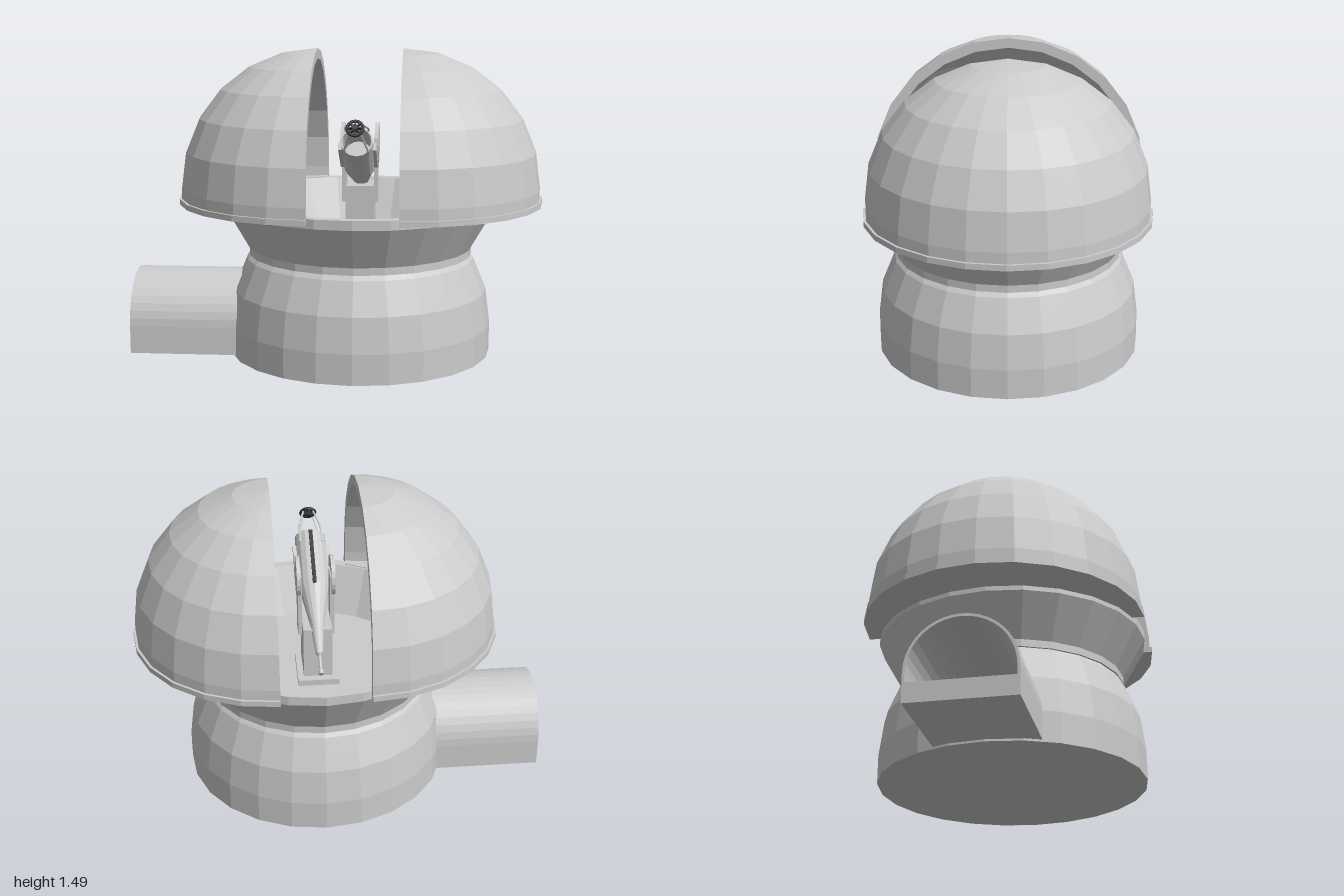
import * as THREE from 'three';

const CX = 0.1125;   // axis of the round building
const SLIDE = 0.2075; // how far each dome half has slid open
const SEG = 24;

const grey = new THREE.MeshStandardMaterial({ color: 0xcccccc, flatShading: true, side: THREE.DoubleSide });
const dark = new THREE.MeshStandardMaterial({ color: 0x333333, flatShading: true, side: THREE.DoubleSide });

const V = (x, y) => new THREE.Vector2(x, y);
const pts = (list) => list.map(([x, y]) => V(x, y));

function add(parent, name, geometry, x = 0, y = 0, z = 0, material = grey) {
  const mesh = new THREE.Mesh(geometry, material);
  mesh.name = name;
  mesh.position.set(x, y, z);
  parent.add(mesh);
  return mesh;
}

// Thin rod between two points
function rod(parent, name, a, b, r, material = grey) {
  const dir = b.clone().sub(a);
  const mesh = add(parent, name, new THREE.CylinderGeometry(r, r, dir.length(), 6), 0, 0, 0, material);
  mesh.position.copy(a).add(b).multiplyScalar(0.5);
  mesh.quaternion.setFromUnitVectors(new THREE.Vector3(0, 1, 0), dir.normalize());
}

function createBase() {
  const g = new THREE.Group();
  g.name = 'base';
  // Lower wall, left open where the entrance tunnel meets it
  const step = (Math.PI * 2) / SEG;
  add(g, 'lowerWall', new THREE.LatheGeometry(
    pts([[0.645, 0], [0.645, 0.145], [0.623, 0.312], [0.591, 0.39]]),
    SEG - 2, Math.PI * 1.5 + step, Math.PI * 2 - 2 * step));
  add(g, 'foundation', new THREE.CylinderGeometry(0.643, 0.643, 0.01, SEG), 0, 0.005, 0);
  // Upper wall, neck, flared cup and observing floor
  add(g, 'cup', new THREE.LatheGeometry(pts([
    [0.591, 0.39], [0.559, 0.467], [0.54, 0.49], [0.55, 0.49], [0.55, 0.525], [0.662, 0.72],
    [0.662, 0.765], [0.61, 0.765], [0.5, 0.53], [0, 0.53]]), SEG));
  return g;
}

function createTunnel() {
  const w = 0.245, t = 0.012, spring = 0.145, floor = 0.1;
  const arch = (Path, half, bottom) => {
    const s = new Path();
    s.moveTo(-half, bottom);
    s.lineTo(half, bottom);
    s.lineTo(half, spring);
    s.absarc(0, spring, half, 0, Math.PI, false);
    s.lineTo(-half, bottom);
    return s;
  };
  const shape = arch(THREE.Shape, w, 0.01);
  shape.holes.push(arch(THREE.Path, w - t, floor));
  const geo = new THREE.ExtrudeGeometry(shape, { depth: 0.56, bevelEnabled: false, curveSegments: 10 });
  geo.rotateY(-Math.PI / 2);
  const mesh = new THREE.Mesh(geo, grey);
  mesh.name = 'entranceTunnel';
  mesh.position.x = -0.44;
  return mesh;
}

// One half of the dome, bulging toward +x from its cut plane at x = 0
function createDomeHalf(name) {
  const g = new THREE.Group();
  g.name = name;
  const arc = (r) => Array.from({ length: 7 }, (_, i) => {
    const a = (i * Math.PI) / 12;
    return V(r * Math.cos(a), 0.82 + r * Math.sin(a));
  });
  const outer = [V(0.67, 0.745), ...arc(0.67)];
  const inner = [V(0.622, 0.745), ...arc(0.622)];
  add(g, 'shell', new THREE.LatheGeometry([...outer, ...inner.slice().reverse()], SEG / 2, 0, Math.PI));

  // Flat face of the cut edge
  const mirror = (list) => list.slice(0, -1).reverse().map((p) => V(-p.x, p.y));
  const band = [...outer, ...mirror(outer), ...[...inner, ...mirror(inner)].reverse()];
  add(g, 'cutEdge', new THREE.ShapeGeometry(new THREE.Shape(band)).rotateY(-Math.PI / 2));

  // Rim plate that fills the gap between the cup and the slid dome
  const rim = [];
  for (let i = 0; i <= 12; i++) {
    const a = -Math.PI / 2 + (i * Math.PI) / 12;
    rim.push(V(0.682 * Math.cos(a), 0.682 * Math.sin(a)));
  }
  const end = Math.acos(SLIDE / 0.62);
  for (let i = 0; i <= 12; i++) {
    const a = end * (1 - i / 6);
    rim.push(V(0.62 * Math.cos(a) - SLIDE, 0.62 * Math.sin(a)));
  }
  const plate = new THREE.ExtrudeGeometry(new THREE.Shape(rim), { depth: 0.027, bevelEnabled: false });
  add(g, 'rimPlate', plate.rotateX(-Math.PI / 2), 0, 0.742, 0);

  // Drive unit on the inner wall, with two short barrels pointing inward
  add(g, 'driveBox', new THREE.BoxGeometry(0.1, 0.12, 0.24), 0.38, 0.85, 0, dark);
  add(g, 'driveBracket', new THREE.BoxGeometry(0.2, 0.05, 0.08), 0.53, 0.83, 0, dark);
  for (const s of [-1, 1]) {
    add(g, 'driveBarrel', new THREE.CylinderGeometry(0.025, 0.025, 0.08, 12).rotateZ(Math.PI / 2), 0.3, 0.845, s * 0.07);
  }
  return g;
}

function createTelescope() {
  const g = new THREE.Group();
  g.name = 'telescope';
  // Pedestal and fork
  add(g, 'pedestal', new THREE.BoxGeometry(0.14, 0.29, 0.2), 0, 0.675, -0.065);
  add(g, 'pedestalFoot', new THREE.BoxGeometry(0.2, 0.03, 0.28), 0, 0.545, -0.065);
  for (const s of [-1, 1]) {
    add(g, 'forkArm', new THREE.BoxGeometry(0.02, 0.32, 0.1), s * 0.078, 0.9, -0.02);
    add(g, 'bearingDisc', new THREE.CylinderGeometry(0.1, 0.1, 0.018, 20).rotateZ(Math.PI / 2), s * 0.083, 1.03, 0);
  }

  // Optical assembly, pointing up and forward
  const tube = new THREE.Group();
  tube.name = 'opticalTube';
  tube.position.y = 0.896;
  tube.rotation.x = -Math.PI / 6;
  g.add(tube);
  add(tube, 'barrel', new THREE.LatheGeometry(pts([
    [0, -0.41], [0.012, -0.41], [0.012, -0.385], [0.007, -0.38], [0.007, -0.31], [0.018, -0.3],
    [0.032, -0.15], [0.062, 0], [0.076, 0.06], [0.076, 0.36], [0.068, 0.36], [0.066, 0.2], [0, 0.2]]), 16)
    .rotateX(Math.PI / 2));
  add(tube, 'topRail', new THREE.BoxGeometry(0.018, 0.014, 0.3), 0, 0.08, 0.2, dark);
  for (const s of [-1, 1]) {
    add(tube, 'sideRail', new THREE.BoxGeometry(0.02, 0.04, 0.22), s * 0.08, 0, 0.19);
  }

  // Truss carrying the front head
  for (let i = 0; i < 4; i++) {
    const a = (i * Math.PI) / 2 + Math.PI / 4;
    const at = (r, z) => new THREE.Vector3(r * Math.cos(a), r * Math.sin(a), z);
    rod(tube, 'trussRod', at(0.076, 0.3), at(0.076, 0.39), 0.005);
    rod(tube, 'trussRod', at(0.076, 0.39), at(0.036, 0.5), 0.005);
  }
  add(tube, 'headRing', new THREE.TorusGeometry(0.036, 0.008, 6, 16), 0, 0, 0.51, dark);
  add(tube, 'headHub', new THREE.CylinderGeometry(0.014, 0.014, 0.04, 10).rotateX(Math.PI / 2), 0, 0, 0.51, dark);
  for (let i = 0; i < 4; i++) {
    add(tube, 'headSpoke', new THREE.BoxGeometry(0.07, 0.006, 0.02), 0, 0, 0.51, dark).rotation.z = (i * Math.PI) / 4;
  }
  return g;
}

export function createModel() {
  const model = new THREE.Group();
  model.name = 'observatory';

  const building = new THREE.Group();
  building.name = 'building';
  building.position.x = CX;
  const left = createDomeHalf('leftDomeHalf');
  left.position.x = SLIDE;
  const right = createDomeHalf('rightDomeHalf');
  right.position.x = -SLIDE;
  right.rotation.y = Math.PI;
  building.add(createBase(), left, right, createTelescope());

  model.add(building, createTunnel());
  return model;
}
